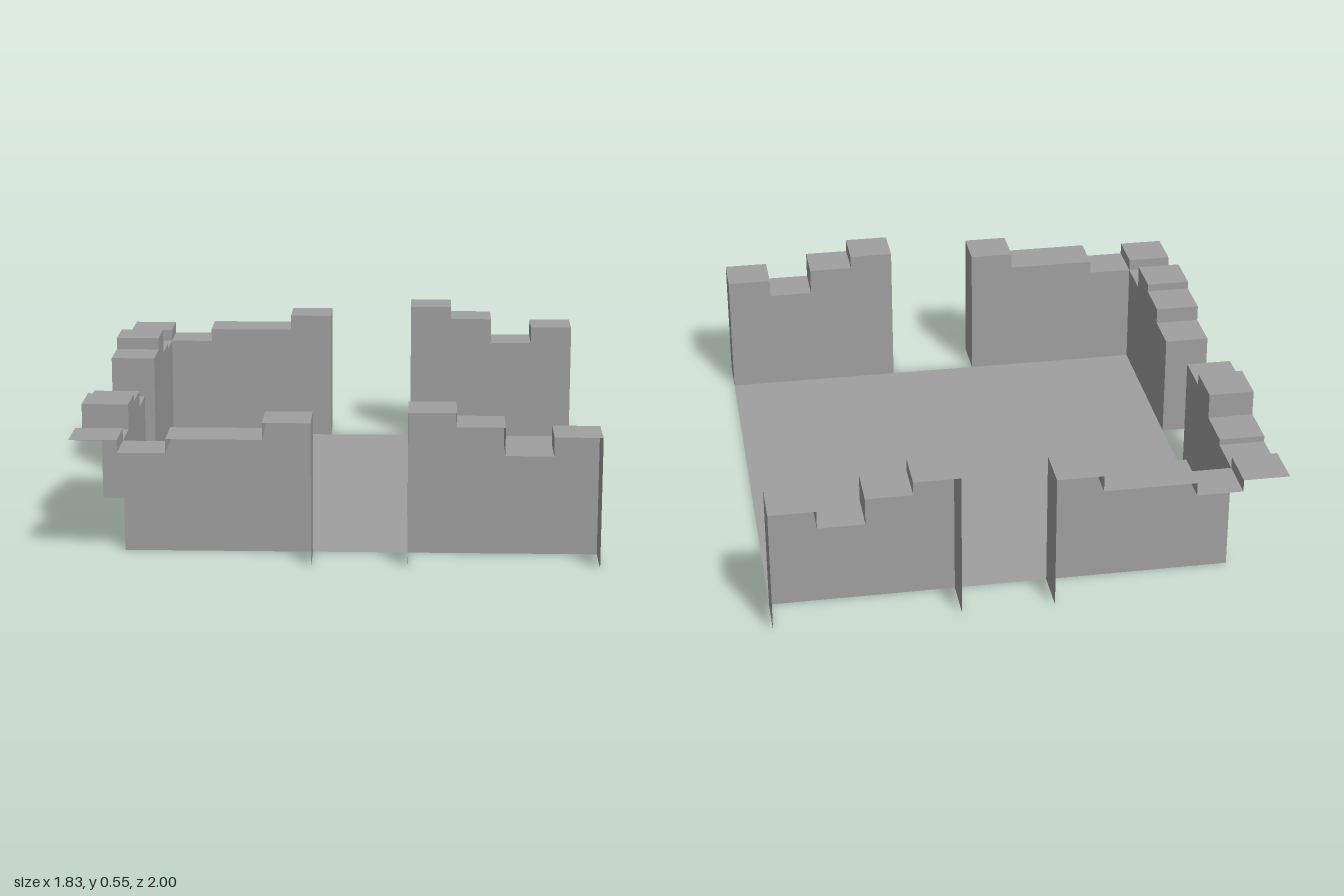
import * as THREE from 'three';
import { mergeGeometries } from 'three/addons/utils/BufferGeometryUtils.js';

const U = 1 / 6;        // side of one wall cell
const CORNER = 0.445;   // height of the corner blocks

// Horizontal square on top of a cell
function topPlate(x, y, z) {
  return new THREE.PlaneGeometry(U, U).rotateX(-Math.PI / 2).translate(x, y, z);
}

// Broken wall run along +x: the room side is z = 0 facing +z, the outer side (-z) is open.
// before / after are the heights of whatever adjoins each end (0 = free end).
function wallRun(heights, before, after) {
  const parts = [];
  heights.forEach((h, i) => {
    const x = (i + 0.5) * U;
    parts.push(new THREE.PlaneGeometry(U, h).translate(x, h / 2, 0));
    parts.push(topPlate(x, h, -U / 2));
  });
  // End caps and step risers, each facing its lower neighbour
  const all = [before, ...heights, after];
  for (let i = 0; i < all.length - 1; i++) {
    const a = all[i], b = all[i + 1];
    if (a === b) continue;
    const riser = new THREE.PlaneGeometry(U, Math.abs(a - b));
    riser.rotateY(a > b ? Math.PI / 2 : -Math.PI / 2);
    parts.push(riser.translate(i * U, (a + b) / 2, -U / 2));
  }
  return mergeGeometries(parts);
}

export function createModel() {
  const model = new THREE.Group();
  model.name = 'ruinedRoom';
  const stone = new THREE.MeshStandardMaterial({ color: 0xa0a0a0, side: THREE.DoubleSide });
  stone.name = 'greyStone';

  const add = (name, geometry, x = 0, z = 0, turn = 0) => {
    const mesh = new THREE.Mesh(geometry, stone);
    mesh.name = name;
    mesh.position.set(x, 0, z);
    mesh.rotation.y = turn;
    model.add(mesh);
  };

  // Floor
  add('floor', new THREE.PlaneGeometry(10 * U, 10 * U).rotateX(-Math.PI / 2), 0.5 * U, 0);

  // Front and back walls share the same broken skyline
  const cornerSide = [0.4, 0.45, 0.45, 0.51];
  const openSide = [0.55, 0.5, 0.4, 0.467];
  add('backWallCornerSide', wallRun(cornerSide, CORNER, 0), -4.5 * U, -5 * U);
  add('backWallOpenSide', wallRun(openSide, 0, 0), 1.5 * U, -5 * U);
  add('frontWallCornerSide', wallRun([...cornerSide].reverse(), 0, CORNER), -0.5 * U, 5 * U, Math.PI);
  add('frontWallOpenSide', wallRun([...openSide].reverse(), 0, 0), 5.5 * U, 5 * U, Math.PI);

  // Side wall in two pieces with a doorway between
  add('sideWallFront', wallRun([0.4, 0.49, 0.46, 0.4], CORNER, 0), -4.5 * U, 5 * U, Math.PI / 2);
  add('sideWallBack', wallRun([0.472, 0.517, 0.422, 0.4], 0, CORNER), -4.5 * U, -U, Math.PI / 2);

  // Corner tops
  add('frontCornerTop', topPlate(-5 * U, CORNER, 5.5 * U));
  add('backCornerTop', topPlate(-5 * U, CORNER, -5.5 * U));
  return model;
}
